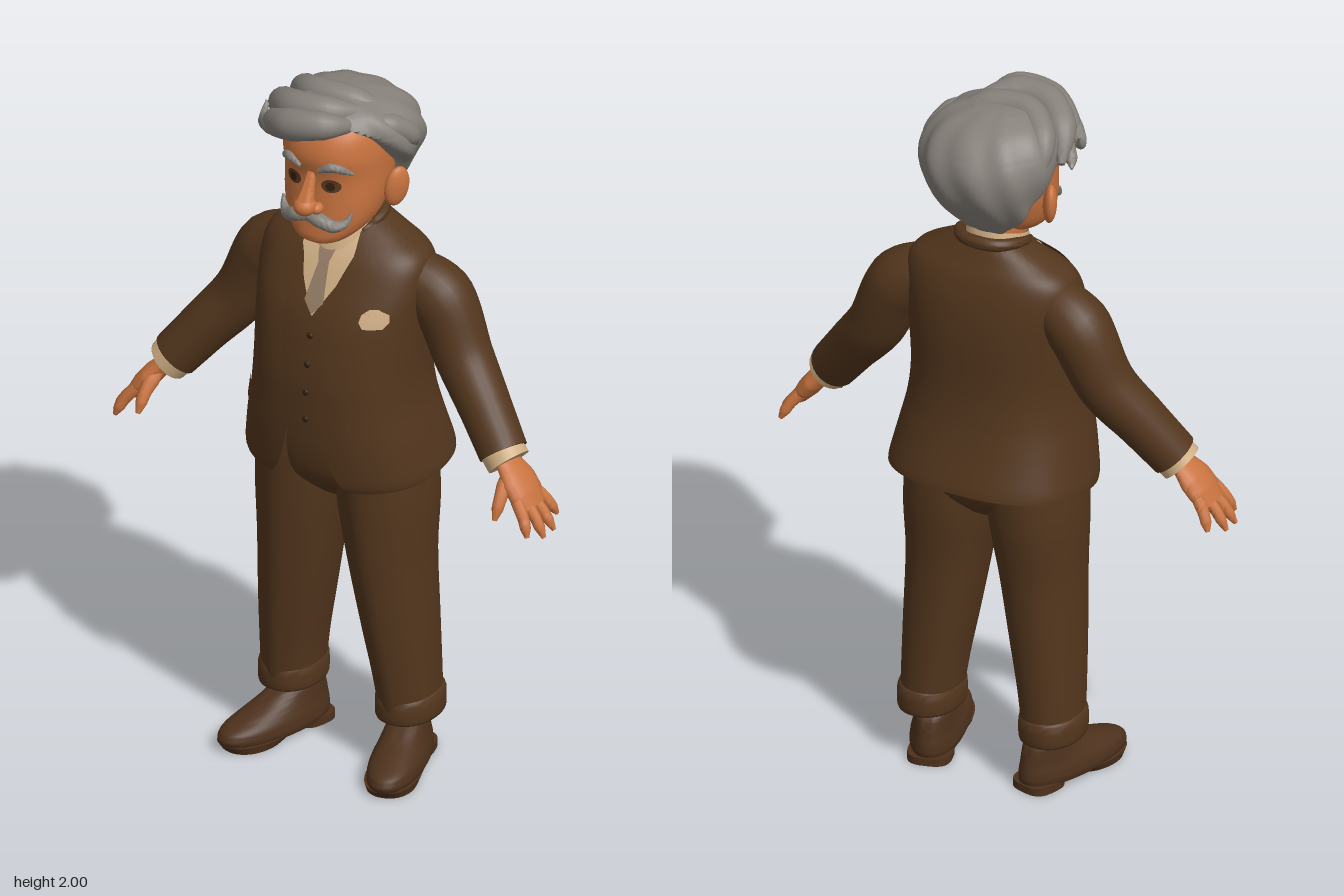
import * as THREE from 'three';
import { toCreasedNormals } from 'three/addons/utils/BufferGeometryUtils.js';

const V = (x, y, z) => new THREE.Vector3(x, y, z);
const spow = (v, p) => Math.sign(v) * Math.abs(v) ** p;
const { sin, cos, PI } = Math;

// Catmull-Rom refinement of section lists
function smooth(rows, k = 5) {
  const out = [], at = i => rows[Math.max(0, Math.min(rows.length - 1, i))];
  for (let i = 0; i < rows.length - 1; i++)
    for (let s = 0; s < k; s++) {
      const u = s / k;
      out.push(rows[i].map((b, c) => {
        const a = at(i - 1)[c], d = at(i + 1)[c], e = at(i + 2)[c];
        return b + 0.5 * u * (d - a + u * (2 * a - 5 * b + 4 * d - e + u * (3 * (b - d) + e - a)));
      }));
    }
  out.push(rows[rows.length - 1]);
  return out;
}

// Grid of points (rows x columns) to a mesh geometry
function grid(points) {
  const w = points[0].length, index = [];
  for (let i = 0; i < points.length - 1; i++)
    for (let j = 0; j < w - 1; j++) {
      const a = i * w + j, d = a + w;
      index.push(a, a + 1, d + 1, a, d + 1, d);
    }
  const g = new THREE.BufferGeometry();
  g.setAttribute('position', new THREE.Float32BufferAttribute(points.flat().flatMap(p => p.toArray()), 3));
  g.setIndex(index);
  return toCreasedNormals(g, 0.9);
}

// Upright loft through rounded sections [y, centreX, halfWidth, frontZ, backZ, extra]
function loft(rows, { n = 2.2, seg = 40, cap = true, gap = () => 0, mod = () => {} } = {}) {
  const flat = r => { const m = (r[3] + r[4]) / 2; return [r[0], r[1], 0, m, m, r[5]]; };
  const all = cap ? [flat(rows[0]), ...rows, flat(rows[rows.length - 1])] : rows;
  return grid(all.map(r => {
    const t0 = gap(r), line = [];
    for (let j = 0; j <= seg; j++) {
      const t = t0 + (2 * PI - 2 * t0) * j / seg, zc = (r[3] + r[4]) / 2, h = (r[3] - r[4]) / 2;
      const p = V(r[1] + r[2] * spow(sin(t), 2 / n), r[0], zc + h * spow(cos(t), 2 / n));
      mod(p, t, r, zc);
      line.push(p);
    }
    return line;
  }));
}

// Front surface depth of a loft at (x, y)
const frontOf = (rows, n) => (x, y) => {
  let i = rows.findIndex(r => r[0] >= y);
  if (i < 1) i = i < 0 ? rows.length - 1 : 1;
  const a = rows[i - 1], b = rows[i], u = Math.min(1, Math.max(0, (y - a[0]) / (b[0] - a[0])));
  const [, , rx, zf, zb] = a.map((v, c) => v + (b[c] - v) * u);
  return (zf + zb) / 2 + (zf - zb) / 2 * Math.max(0, 1 - Math.abs(x / rx) ** n) ** (1 / n);
};

// Thin plate following a surface, from rows [y, x1, x2]
const plate = (rows, surf, lift, s = 1) => {
  const fine = [];
  rows.forEach((r, i) => {
    if (i) for (const u of [0.33, 0.67]) fine.push(rows[i - 1].map((v, c) => v + (r[c] - v) * u));
    fine.push(r);
  });
  return grid(fine.map(([y, a, b]) => Array.from({ length: 9 }, (_, j) => {
    const x = a + (b - a) * j / 8;
    return V(s * x, y, surf(x, y) + lift);
  })));
};
const discRows = (cx, cy, rx, ry) => Array.from({ length: 9 }, (_, i) => {
  const a = PI * (1 - i / 8);
  return [cy + ry * cos(a), cx - rx * sin(a), cx + rx * sin(a)];
});

// Tapered tube with closed ends, radii spread evenly along the path
function taper(points, radii, { n = 24, seg = 16, squash = [1, 1, 1], s = 1 } = {}) {
  const curve = new THREE.CatmullRomCurve3(points.map(p => V(s * p[0], p[1], p[2])));
  const frames = curve.computeFrenetFrames(n);
  const lines = [];
  for (let i = -1; i <= n + 1; i++) {
    const k = Math.min(n, Math.max(0, i)), f = k / n * (radii.length - 1), a = Math.min(radii.length - 2, Math.floor(f));
    const r = i < 0 || i > n ? 0 : radii[a] + (radii[a + 1] - radii[a]) * (f - a);
    const c = curve.getPointAt(k / n);
    lines.push(Array.from({ length: seg + 1 }, (_, j) => {
      const t = 2 * PI * j / seg;
      return frames.normals[k].clone().multiplyScalar(cos(t) * r).addScaledVector(frames.binormals[k], sin(t) * r)
        .multiply(V(...squash)).add(c);
    }));
  }
  return grid(lines);
}

export function createModel() {
  const model = new THREE.Group();
  const mat = (name, color) => Object.assign(new THREE.MeshStandardMaterial({ color, side: THREE.DoubleSide }), { name });
  const suit = mat('brown suit', 0x53361d), skin = mat('skin', 0xc8733f), hair = mat('grey hair', 0x86807a),
    shirt = mat('cream shirt', 0xcfae84), tie = mat('taupe tie', 0x957c66), leather = mat('shoe leather', 0x4d311c),
    dark = mat('dark brown', 0x33200f), iris = mat('eye brown', 0x5c3820);
  const add = (name, geo, m, parent = model) => {
    const mesh = new THREE.Mesh(geo, m);
    mesh.name = name;
    parent.add(mesh);
    return mesh;
  };
  const ball = (name, m, pos, scale) => {
    const b = add(name, new THREE.SphereGeometry(1, 24, 16), m);
    b.position.set(...pos);
    b.scale.set(...scale);
    return b;
  };

  // Jacket shell, open at the front; the last column is half the opening
  const N = 2.4;
  const torso = smooth([
    [0.87, 0, 0.28, 0.195, -0.245, 0.13], [0.9, 0, 0.279, 0.205, -0.24, 0.095], [1.0, 0, 0.262, 0.215, -0.215, 0.06],
    [1.1, 0, 0.244, 0.217, -0.195, 0.05], [1.2, 0, 0.236, 0.213, -0.182, 0.06], [1.35, 0, 0.242, 0.185, -0.18, 0.08],
    [1.45, 0, 0.248, 0.14, -0.168, 0.09], [1.52, 0, 0.232, 0.1, -0.148, 0.09], [1.565, 0, 0.165, 0.062, -0.125, 0.085],
    [1.605, 0, 0.09, 0.02, -0.105, 0.07]]);
  const chest = frontOf(torso, N);
  add('jacket', loft(torso, {
    n: N, seg: 64, cap: false, gap: r => Math.asin(Math.min(1, r[5] / r[2]) ** (N / 2)),
    mod: (p, t, r) => { p.y += 0.05 * Math.max(0, (1.1 - r[0]) / 0.23) * (r[3] - p.z) / (r[3] - r[4]); },
  }), suit);
  add('waistcoat', loft(torso.filter(r => r[0] > 1.0 && r[0] < 1.56)
    .map(r => [r[0], 0, r[2] - 0.012, r[3] - 0.012, r[4] + 0.012]), { n: N }), suit);
  for (const y of [1.07, 1.15, 1.23, 1.31])
    ball('waistcoatButton', dark, [0, y, chest(0, y) - 0.011], [0.009, 0.009, 0.005]);
  add('jacketCollar', taper([[0.075, 1.58, 0.04], [0.092, 1.605, -0.03], [0.055, 1.615, -0.095], [0, 1.617, -0.11],
    [-0.055, 1.615, -0.095], [-0.092, 1.605, -0.03], [-0.075, 1.58, 0.04]], [0.008, 0.016, 0.018, 0.016, 0.008]), suit);

  // Shirt front, neck band and tie
  add('shirtFront', plate([[1.365, 0, 0], [1.45, -0.05, 0.05], [1.53, -0.078, 0.078], [1.59, -0.08, 0.08]], chest, -0.005), shirt);
  add('shirtCollar', loft([[1.555, 0, 0.088, 0.1, -0.088], [1.585, 0, 0.084, 0.09, -0.085], [1.61, 0, 0.079, 0.08, -0.078]],
    { cap: false, mod: p => { p.y -= (p.z - 0.01) * 0.35; } }), shirt);
  add('tieBlade', plate([[1.372, 0, 0], [1.405, -0.029, 0.029], [1.51, -0.014, 0.014]], chest, 0.001), tie);
  add('tieKnot', plate([[1.5, -0.013, 0.013], [1.515, -0.02, 0.02], [1.545, -0.026, 0.026]], chest, 0.006), tie);
  add('pocketSquare', plate([[1.362, 0.15, 0.195], [1.38, 0.138, 0.207], [1.4, 0.142, 0.205], [1.415, 0.16, 0.18]], chest, 0.009), shirt);

  // Trousers seat
  add('trouserSeat', loft(smooth([[0.79, 0, 0.1, 0.08, -0.1], [0.86, 0, 0.2, 0.15, -0.165], [0.95, 0, 0.235, 0.17, -0.18],
    [1.04, 0, 0.22, 0.17, -0.17]])), suit);

  for (const s of [1, -1]) {
    // Lapel, collar point and pocket flap
    add('lapel', plate([[1.13, 0.05, 0.055], [1.2, 0.06, 0.085], [1.3, 0.073, 0.125], [1.4, 0.083, 0.16], [1.475, 0.088, 0.178],
      [1.488, 0.088, 0.135], [1.502, 0.086, 0.165], [1.55, 0.08, 0.13], [1.595, 0.07, 0.098]], chest, 0.009, s), suit);
    add('collarPoint', plate([[1.495, 0.05, 0.056], [1.53, 0.024, 0.078], [1.585, 0.03, 0.08]], chest, 0.004, s), shirt);
    add('pocketFlap', plate([[1.05, 0.13, 0.225], [1.06, 0.125, 0.23], [1.11, 0.13, 0.222]], chest, 0.009, s), suit);

    // Trouser leg with a pressed crease and turn-up
    add('trouserLeg', loft(smooth([[0.17, s * 0.182, 0.077, 0.072, -0.128], [0.28, s * 0.174, 0.083, 0.088, -0.13],
      [0.42, s * 0.16, 0.094, 0.108, -0.134], [0.62, s * 0.14, 0.108, 0.133, -0.142], [0.8, s * 0.127, 0.124, 0.15, -0.163],
      [1.0, s * 0.115, 0.12, 0.165, -0.165]]),
    { mod: (p, t, r) => { p.z += r[2] ? 0.008 * Math.exp(-((1 - cos(t)) / 0.03)) : 0; } }), suit);
    add('turnUp', loft(smooth([[0.14, s * 0.182, 0.076, 0.072, -0.128], [0.15, s * 0.182, 0.084, 0.08, -0.136],
      [0.2, s * 0.182, 0.084, 0.08, -0.136], [0.215, s * 0.182, 0.076, 0.072, -0.128]], 3)), suit);

    // Ankle and shoe, toes turned out
    add('ankle', loft([[0.08, s * 0.175, 0.042, 0.015, -0.09], [0.18, s * 0.175, 0.045, 0.02, -0.095]]), skin);
    const shoe = new THREE.Group();
    shoe.name = 'shoe';
    shoe.position.x = s * 0.183;
    shoe.rotation.y = s * 0.28;
    model.add(shoe);
    add('shoeUpper', loft(smooth([[0.016, 0, 0.068, 0.225, -0.13], [0.03, 0, 0.073, 0.236, -0.135], [0.055, 0, 0.07, 0.226, -0.134],
      [0.077, 0, 0.062, 0.17, -0.13], [0.1, 0, 0.055, 0.1, -0.126], [0.125, 0, 0.05, 0.045, -0.118], [0.135, 0, 0.045, 0.02, -0.11]], 4)), leather, shoe);
    add('shoeSole', loft([[0, 0, 0.066, 0.215, 0.04], [0.022, 0, 0.073, 0.232, -0.02]]), leather, shoe);
    add('shoeHeel', loft([[0, 0, 0.06, -0.015, -0.137], [0.022, 0, 0.06, -0.01, -0.137]], { n: 3 }), leather, shoe);

    // Arm, cuff and hand
    add('sleeve', taper([[0.17, 1.455, -0.03], [0.26, 1.405, -0.045], [0.345, 1.245, -0.035], [0.43, 1.14, 0.0], [0.51, 1.04, 0.035]],
      [0.075, 0.09, 0.083, 0.077, 0.071, 0.067], { s, n: 32, seg: 24 }), suit);
    add('shirtCuff', taper([[0.49, 1.06, 0.03], [0.53, 1.018, 0.04]], [0.06, 0.06], { s, n: 4, seg: 24 }), shirt);
    add('palm', taper([[0.51, 1.04, 0.037], [0.56, 0.985, 0.047], [0.615, 0.915, 0.055]], [0.042, 0.05, 0.064, 0.064, 0.05],
      { s, squash: [0.45, 0.45, 1] }), skin);
    const tips = [[0.642, 0.868, -0.022], [0.668, 0.852, 0.035], [0.668, 0.85, 0.085], [0.642, 0.862, 0.128]];
    tips.forEach((tip, i) => {
      const base = [0.592, 0.945, 0.01 + 0.03 * i];
      const mid = base.map((v, c) => (v + tip[c]) / 2 + [0.005, 0.002, 0][c]);
      add('finger', taper([base, mid, tip], [0.017, 0.017, 0.016, 0.015, 0.006], { s, n: 16, seg: 10 }), skin);
    });
    add('thumb', taper([[0.545, 0.995, 0.07], [0.553, 0.95, 0.12], [0.555, 0.9, 0.152]], [0.018, 0.021, 0.018, 0.016, 0.006],
      { s, n: 16, seg: 10 }), skin);
  }

  // Neck and head
  add('neck', loft([[1.48, 0, 0.068, 0.06, -0.07], [1.7, 0, 0.075, 0.09, -0.08]]), skin);
  const skull = smooth([[1.584, 0, 0.04, 0.165, 0.09], [1.6, 0, 0.078, 0.182, 0.02], [1.64, 0, 0.115, 0.182, -0.05],
    [1.7, 0, 0.134, 0.178, -0.085], [1.78, 0, 0.14, 0.176, -0.12], [1.85, 0, 0.14, 0.188, -0.13], [1.92, 0, 0.12, 0.16, -0.1],
    [1.965, 0, 0.05, 0.08, -0.03]]);
  add('head', loft(skull, { n: 2.3, seg: 48 }), skin);
  const face = frontOf(skull, 2.3);
  add('noseBridge', taper([[0, 1.8, 0.172], [0, 1.755, 0.193], [0, 1.715, 0.21]], [0.012, 0.018, 0.027]), skin);
  ball('noseTip', skin, [0, 1.713, 0.208], [0.031, 0.027, 0.032]);

  for (const s of [1, -1]) {
    ball('nostril', skin, [s * 0.027, 1.705, 0.19], [0.016, 0.016, 0.02]);
    const ear = ball('ear', skin, [s * 0.156, 1.722, 0.0], [0.019, 0.058, 0.036]);
    ear.rotation.set(-0.15, s * -0.5, s * -0.12);
    add('eye', plate(discRows(0.057, 1.77, 0.026, 0.02), face, 0.003, s), iris);
    add('pupil', plate(discRows(0.057, 1.77, 0.012, 0.013), face, 0.006, s), dark);
    const on = (x, y, d) => [x, y, face(x, y) + d];
    add('eyebrow', taper([on(0.028, 1.815, 0.003), on(0.065, 1.832, 0.003), on(0.108, 1.808, 0.002)],
      [0.006, 0.013, 0.012, 0.004], { s, seg: 10 }), hair);
    add('moustache', taper([on(0, 1.678, 0.016), on(0.035, 1.674, 0.018), on(0.072, 1.657, 0.014), on(0.095, 1.665, 0.012),
      on(0.107, 1.69, 0.01)], [0.013, 0.02, 0.018, 0.012, 0.003], { s }), hair);
  }

  // Swept-back hair; the last column is the hairline angle from the front
  add('hairCap', loft(smooth([[1.64, 0, 0.075, 0.0, -0.085, 2.2], [1.7, 0, 0.135, 0.05, -0.14, 1.95], [1.77, 0.002, 0.162, 0.1, -0.188, 1.6],
    [1.84, 0.006, 0.186, 0.14, -0.2, 1.2], [1.9, 0.006, 0.178, 0.15, -0.178, 0.8], [1.95, 0, 0.14, 0.14, -0.13, 0.1],
    [1.98, -0.01, 0.075, 0.1, -0.06, 0]], 6), {
    seg: 80,
    mod: (p, t, r, zc) => {
      const k = THREE.MathUtils.smoothstep(Math.min(t, 2 * PI - t), r[5] - 0.14, r[5] + 0.14);
      const f = (0.78 + 0.22 * k) * (1 + 0.028 * k * sin(10 * t + 24 * r[0]));
      p.x *= f;
      p.z = zc + (p.z - zc) * f;
    },
  }), hair);

  // Swooping locks of the quiff
  const locks = [
    [[[0.09, 1.925, 0.09], [0.04, 1.945, 0.165], [-0.05, 1.93, 0.18], [-0.13, 1.895, 0.135], [-0.185, 1.845, 0.06]], [0.012, 0.038, 0.045, 0.04, 0.008]],
    [[[0.09, 1.945, 0.05], [0.01, 1.96, 0.12], [-0.08, 1.95, 0.125], [-0.16, 1.91, 0.06], [-0.19, 1.85, 0.0]], [0.02, 0.042, 0.046, 0.042, 0.01]],
    [[[0.13, 1.92, -0.02], [0.04, 1.958, 0.03], [-0.07, 1.958, 0.04], [-0.15, 1.91, -0.03], [-0.165, 1.84, -0.08]], [0.02, 0.04, 0.042, 0.04, 0.01]],
    [[[-0.08, 1.915, 0.175], [-0.15, 1.885, 0.14], [-0.2, 1.87, 0.09], [-0.208, 1.905, 0.065]], [0.015, 0.028, 0.02, 0.003]],
    [[[-0.13, 1.87, 0.08], [-0.185, 1.84, 0.06], [-0.205, 1.825, 0.03]], [0.02, 0.025, 0.003]],
    [[[0.09, 1.93, 0.07], [0.14, 1.915, 0.03], [0.175, 1.87, -0.03], [0.165, 1.81, -0.08]], [0.015, 0.035, 0.03, 0.005]],
  ];
  for (const [path, radii] of locks) add('hairLock', taper(path, radii, { n: 28 }), hair);

  return model;
}
